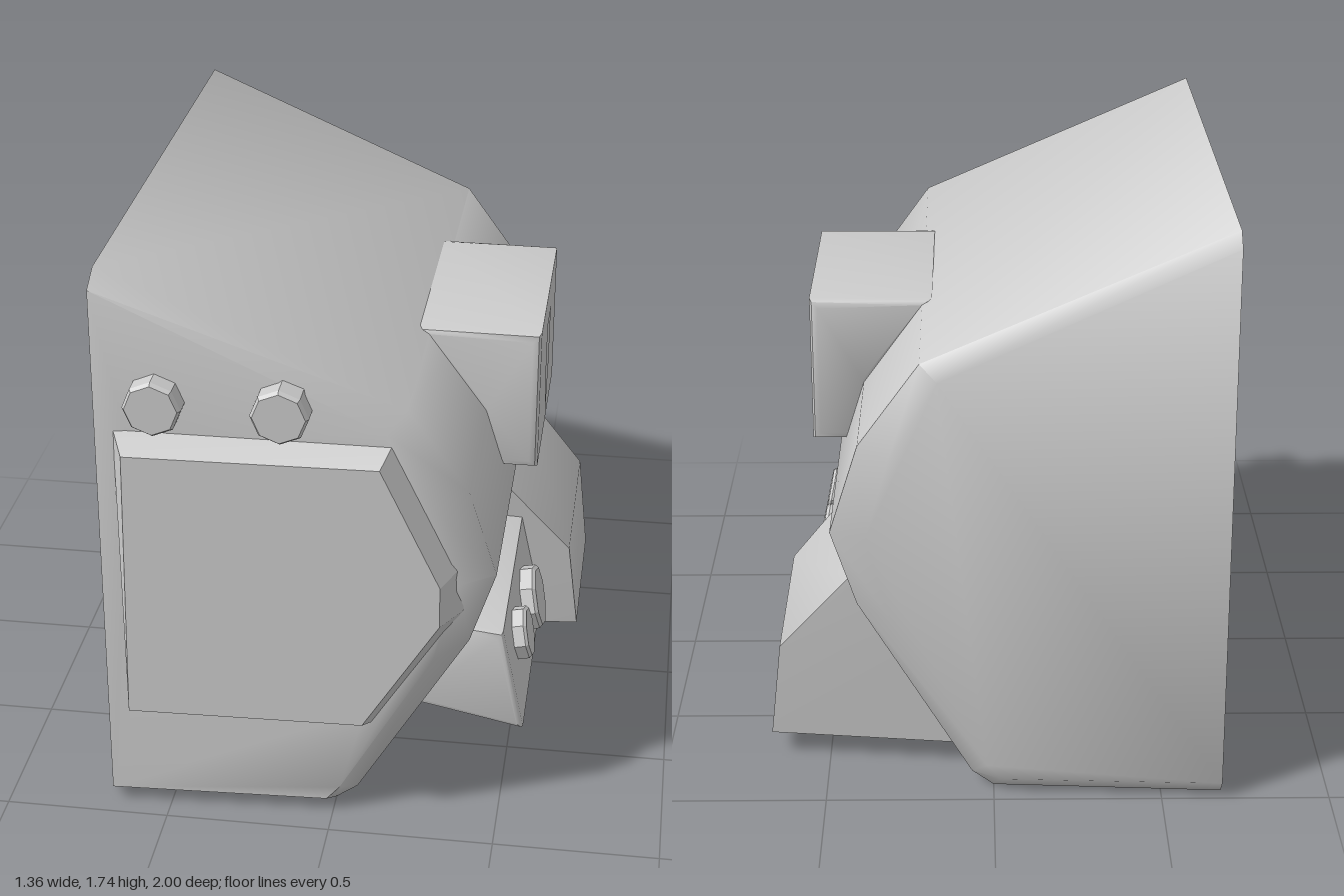
import * as THREE from 'three';
import { mergeGeometries, mergeVertices, toCreasedNormals } from 'three/addons/utils/BufferGeometryUtils.js';

const material = new THREE.MeshStandardMaterial({ color: 0xcccccc, side: THREE.DoubleSide });

function mesh(name, geometry) {
  const m = new THREE.Mesh(geometry, material);
  m.name = name;
  return m;
}

const toShape = (pts) => new THREE.Shape(pts.map(([x, y]) => new THREE.Vector2(x, y)));

// Surface stretched over rows of [x, y, z] points
function skin(rows) {
  const n = rows[0].length;
  const index = [];
  for (let i = 0; i < rows.length - 1; i++) {
    for (let j = 0; j < n - 1; j++) {
      const a = i * n + j, b = a + 1, c = a + n, d = c + 1;
      index.push(a, c, b, b, c, d);
    }
  }
  const g = new THREE.BufferGeometry();
  g.setAttribute('position', new THREE.Float32BufferAttribute(rows.flat(2), 3));
  g.setIndex(index);
  return g;
}

// Outline filled flat, then lifted to a depth given by a rule z(x, y)
function cap(shape, depth, flip = false) {
  const g = new THREE.ShapeGeometry(shape);
  const p = g.attributes.position;
  for (let i = 0; i < p.count; i++) p.setZ(i, depth(p.getX(i), p.getY(i)));
  if (flip) g.setIndex([...g.index.array].reverse());
  g.deleteAttribute('uv');
  g.deleteAttribute('normal');
  return g;
}

const join = (parts, crease) => toCreasedNormals(mergeVertices(mergeGeometries(parts), 1e-4), crease);

// Block extruded along z with small rounded edges
function block(pts, zMin, zMax, r = 0.025) {
  const g = new THREE.ExtrudeGeometry(toShape(pts), {
    depth: zMax - zMin - 2 * r, bevelThickness: r, bevelSize: r, bevelOffset: -r, bevelSegments: 2,
  });
  g.translate(0, 0, zMin + r);
  g.deleteAttribute('uv');
  g.deleteAttribute('normal');
  return toCreasedNormals(mergeVertices(g, 1e-4), 0.7);
}

// Eight-sided bolt head standing on a surface
function bolt(name, position, normal, radius, height) {
  const r = radius;
  const g = new THREE.LatheGeometry([[r, -height], [r, height * 0.8], [r * 0.9, height], [0, height]]
    .map(([x, y]) => new THREE.Vector2(x, y)), 8);
  const m = mesh(name, toCreasedNormals(g, 0.3));
  m.position.set(...position);
  m.quaternion.setFromUnitVectors(new THREE.Vector3(0, 1, 0), new THREE.Vector3(...normal).normalize());
  return m;
}

export function createModel() {
  const model = new THREE.Group();
  model.name = 'armourShell';

  // Shell: outer profile, and the inset profile of the end walls
  const rim = [[-0.68, 0], [0, 0], [0.065, 0.045], [0.4, 0.6], [0.475, 0.83], [0.39, 1.1], [0.21, 1.35], [-0.68, 1.74]];
  const wall = [[-0.68, 0.05], [-0.02, 0.045], [0.02, 0.09], [0.3, 0.57], [0.37, 0.83], [0.3, 1.08], [0.16, 1.31], [-0.68, 1.7]];
  const low = (x, y) => Math.max(0, 1 - y / 1.3) * Math.min(1, Math.max(0, (0.37 - x) / 1.05));
  const frontZ = (x, y) => 0.886 + 0.06 * low(x, y);
  const backZ = (x, y) => -0.936 - 0.065 * low(x, y);
  const ring = (pts, depth, shift) => pts.map(([x, y]) => [x, y, depth(x, y) + shift]);

  // Raised front plate outlines
  const plateTop = [[-0.6, 0.38], [0.1, 0.375], [0.325, 0.73], [0.325, 0.86], [0.15, 1.23], [-0.585, 1.235]];
  const plateBase = [[-0.62, 0.35], [0.12, 0.33], [0.385, 0.73], [0.38, 0.88], [0.175, 1.27], [-0.63, 1.27]];

  const frontWall = toShape(wall);
  frontWall.holes.push(toShape(plateTop));
  model.add(mesh('shell', join([
    skin([ring(wall, frontZ, 0), ring(rim, frontZ, -0.075), ring(rim, backZ, 0.045), ring(wall, backZ, 0)]),
    cap(frontWall, frontZ),
    cap(toShape(wall), backZ, true),
  ], 0.95)));

  // Front plate: sloped border and tilted face
  const plateZ = (x, y) => 0.984 - 0.037 * (x + 0.6) - 0.018 * (y - 1.235) + 0.001;
  const baseZ = (x) => (x > 0.3 ? 0.855 : 0.885);
  const closed = (pts) => [...pts, pts[0]];
  model.add(mesh('frontPlate', join([
    skin([ring(closed(plateTop), plateZ, 0), ring(closed(plateBase), baseZ, 0)]),
    cap(toShape(plateTop), plateZ),
  ], 0.25)));

  // Bolts above the front plate
  for (const x of [-0.5, -0.135]) model.add(bolt('frontBolt', [x, 1.37, 0.89], [0, 0, 1], 0.085, 0.062));

  // Upper side box with its arrow mark
  model.add(mesh('sideBox', block([[0.18, 1.365], [0.37, 1.1], [0.42, 0.91], [0.55, 0.91], [0.55, 1.365]], -0.4, 0.3)));
  const arrow = new THREE.ShapeGeometry(toShape([[-0.05, 1.285], [-0.06, 1.1], [0.01, 0.95], [0.09, 1.1], [0.105, 1.285]]));
  arrow.rotateY(Math.PI / 2).translate(0.552, 0, 0);
  model.add(mesh('arrowMark', arrow));

  // Lower bolted pad
  model.add(mesh('lowerPad', block([[0.19, 0.235], [0.555, 0.16], [0.485, 0.505], [0.35, 0.52]], -0.14, 0.625, 0.02)));
  model.add(bolt('padBoltSmall', [0.512, 0.37, 0.4], [0.98, 0.2, 0], 0.085, 0.045));
  model.add(bolt('padBoltLarge', [0.52, 0.335, 0.13], [0.98, 0.2, 0], 0.107, 0.05));

  // Flared hood, open underneath: [wall x, outer x, y, outer front z, outer back z]
  const hoodRows = [[0.4, 0.43, 0.63, -0.085, -0.785], [0.27, 0.645, 0.38, -0.125, -0.745], [0.08, 0.68, 0.07, -0.16, -0.72]];
  const hood = skin(hoodRows.map(([xw, xo, y, zf, zb]) => [[xw, y, -0.08], [xo, y, zf], [xo, y, zb], [xw, y, -0.79]]));
  model.add(mesh('hood', toCreasedNormals(hood, 0.9)));

  return model;
}
